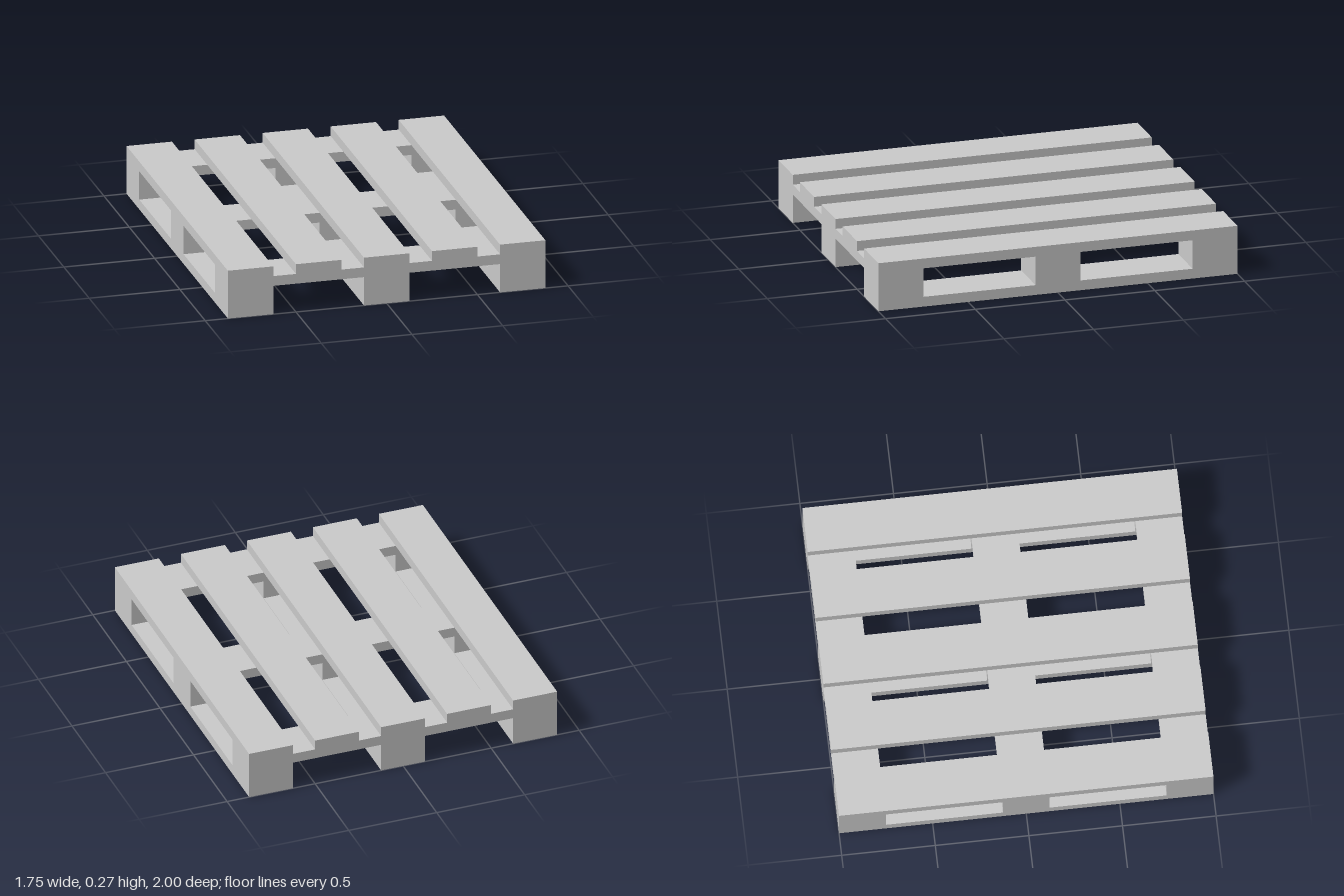
import * as THREE from 'three';

const LENGTH = 2, HEIGHT = 0.27, BOARD = 0.055, WIDTH = 0.25;

// Rectangle outline, given by its corners
function rect(path, x0, y0, x1, y1) {
  path.moveTo(x0, y0);
  path.lineTo(x1, y0);
  path.lineTo(x1, y1);
  path.lineTo(x0, y1);
  path.closePath();
  return path;
}

export function createModel() {
  const group = new THREE.Group();
  group.name = 'pallet';
  const material = new THREE.MeshStandardMaterial({ color: 0xcccccc, flatShading: true });

  const add = (name, geometry, x, y, z) => {
    const mesh = new THREE.Mesh(geometry, material);
    mesh.name = name;
    mesh.position.set(x, y, z);
    group.add(mesh);
  };

  // Runners: bottom board, three blocks and top board, with two fork openings
  const side = rect(new THREE.Shape(), -LENGTH / 2, 0, LENGTH / 2, HEIGHT);
  for (const z of [-0.75, 0.125]) {
    side.holes.push(rect(new THREE.Path(), z, BOARD, z + 0.625, HEIGHT - BOARD));
  }
  const runner = new THREE.ExtrudeGeometry(side, { depth: WIDTH, bevelEnabled: false });
  runner.translate(0, 0, -WIDTH / 2).rotateY(-Math.PI / 2);
  for (const x of [-0.75, 0, 0.75]) add('runner', runner, x, 0, 0);

  // Cross boards bridging the gaps between the runners
  const crossBoard = new THREE.BoxGeometry(0.5, BOARD, WIDTH);
  const deckBoard = new THREE.BoxGeometry(WIDTH, BOARD, LENGTH);
  for (const x of [-0.375, 0.375]) {
    for (const z of [-0.875, 0, 0.875]) {
      add('crossBoard', crossBoard, x, HEIGHT - BOARD * 1.5, z);
    }
    // Deck boards lying on the cross boards
    add('deckBoard', deckBoard, x, HEIGHT - BOARD / 2, 0);
  }

  return group;
}
